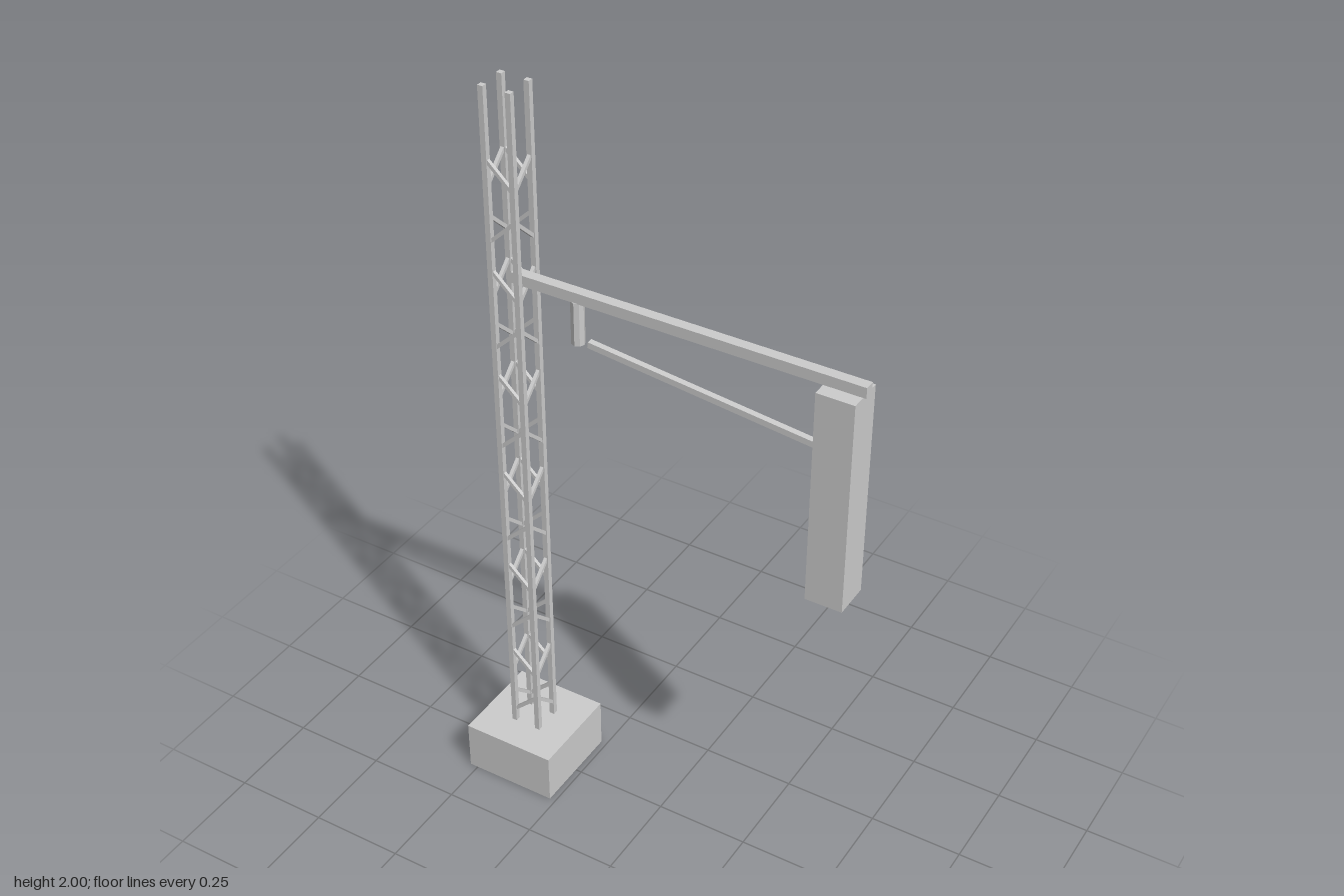
import * as THREE from 'three';

export function createModel() {
  const model = new THREE.Group();
  const steel = new THREE.MeshStandardMaterial({ color: 0xcccccc });
  steel.name = 'light grey';

  const add = (name, geometry, x, y, z, parent = model) => {
    const mesh = new THREE.Mesh(geometry, steel);
    mesh.name = name;
    mesh.position.set(x, y, z);
    parent.add(mesh);
    return mesh;
  };
  const box = (w, h, d) => new THREE.BoxGeometry(w, h, d);

  const mastX = -0.395, half = 0.036, baseTop = 0.14;

  // Foundation block
  add('foundation', box(0.256, baseTop, 0.256), mastX, baseTop / 2, -0.001);

  // Lattice mast: four posts and zigzag bracing on all four faces
  const mast = new THREE.Group();
  mast.name = 'latticeMast';
  mast.position.set(mastX, 0, -0.001);
  model.add(mast);
  const postHeight = 2 - baseTop;
  for (const x of [-half, half])
    for (const z of [-half, half])
      add('mastPost', box(0.014, postHeight, 0.014), x, baseTop + postHeight / 2, z, mast);

  const strut = box(0.098, 0.009, 0.009);
  for (let i = 0; i < 12; i++) {
    const y = 0.211 + i * 0.1432;
    const angle = (i % 2 ? -1 : 1) * 0.76;
    for (const side of [-half, half]) {
      add('frontBackBrace', strut, 0, y, side, mast).rotation.z = angle;
      // Side faces mirror the front across the x = z diagonal
      add('sideBrace', strut, side, y, 0, mast).rotation.set(0, -Math.PI / 2, angle);
    }
  }

  // Horizontal arm
  add('arm', box(0.912, 0.028, 0.027), 0.062, 1.514, -0.001);

  // Short hanger below the arm
  add('hanger', new THREE.CylinderGeometry(0.017, 0.017, 0.115, 8).toNonIndexed(), -0.222, 1.4435, -0.001)
    .geometry.computeVertexNormals();

  // Sloping stay towards the hanging box
  const a = new THREE.Vector2(-0.192, 1.394), b = new THREE.Vector2(0.43, 1.327);
  add('stay', box(a.distanceTo(b), 0.016, 0.016), (a.x + b.x) / 2, (a.y + b.y) / 2, -0.001)
    .rotation.z = Math.atan2(b.y - a.y, b.x - a.x);

  // Hanging box at the end of the arm
  add('hangingBox', box(0.096, 0.572, 0.096), 0.462, 1.214, 0);

  return model;
}
